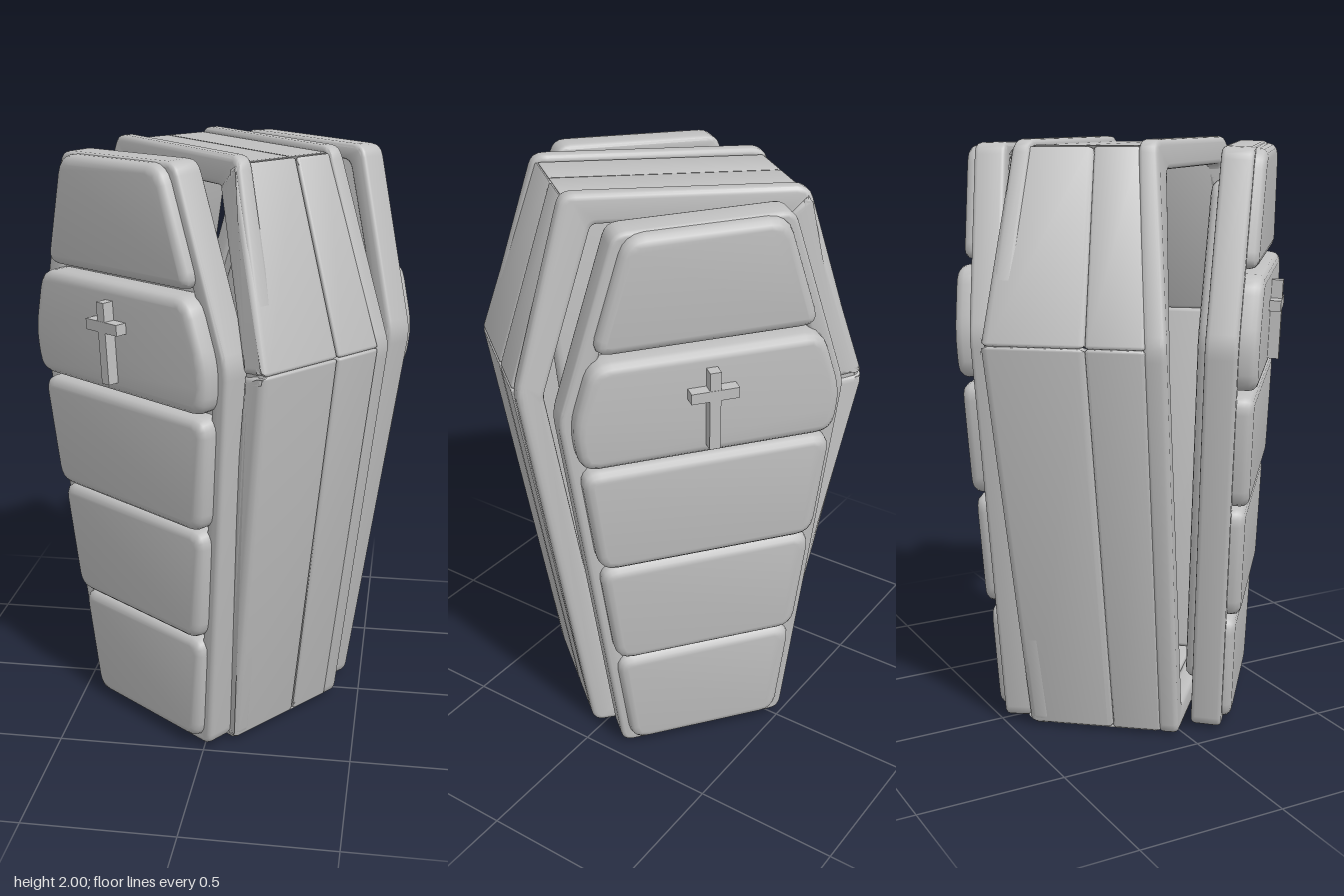
import * as THREE from 'three';
import { toCreasedNormals } from 'three/addons/utils/BufferGeometryUtils.js';

const stone = new THREE.MeshStandardMaterial({ color: 0xc0c0c0 });
stone.name = 'pale grey';

// Polygon with softened corners
function softShape(points, radius) {
  const v = points.map(([x, y]) => new THREE.Vector2(x, y));
  const shape = new THREE.Shape();
  v.forEach((p, i) => {
    const before = v[(i + v.length - 1) % v.length];
    const after = v[(i + 1) % v.length];
    const step = (q) => p.clone().lerp(q, Math.min(0.45, radius / p.distanceTo(q)));
    const a = step(before);
    const b = step(after);
    if (i === 0) shape.moveTo(a.x, a.y);
    else shape.lineTo(a.x, a.y);
    shape.quadraticCurveTo(p.x, p.y, b.x, b.y);
  });
  shape.closePath();
  return shape;
}

// Bevelled slab between z0 and z1; the bevel stays inside the outline
function slab(shape, z0, z1, bevel) {
  const g = new THREE.ExtrudeGeometry(shape, {
    depth: z1 - z0 - 2 * bevel, curveSegments: 4, bevelEnabled: true,
    bevelThickness: bevel, bevelSize: bevel, bevelOffset: -bevel, bevelSegments: 3,
  });
  g.translate(0, 0, z0 + bevel);
  return g;
}

function addMesh(parent, name, geometry) {
  const mesh = new THREE.Mesh(toCreasedNormals(geometry, 0.7), stone);
  mesh.name = name;
  parent.add(mesh);
  return mesh;
}

// Six-sided coffin outline from half-widths at the foot, shoulder and head
function hexagon(foot, shoulder, head, y0, yMid, y1) {
  return [[-foot, y0], [foot, y0], [shoulder, yMid], [head, y1], [-head, y1], [-shoulder, yMid]];
}

function createLid() {
  const lid = new THREE.Group();
  const halfWidth = (y) => (y < 1.38
    ? THREE.MathUtils.mapLinear(y, 0, 1.38, 0.3, 0.47)
    : THREE.MathUtils.mapLinear(y, 1.38, 1.99, 0.47, 0.28));

  // Raised frame around a thin backing board
  const frame = softShape(hexagon(0.3, 0.47, 0.28, 0.01, 1.38, 1.985), 0.04);
  frame.holes.push(softShape(hexagon(0.245, 0.405, 0.225, 0.06, 1.38, 1.93), 0.03));
  addMesh(lid, 'lidFrame', slab(frame, -0.055, 0.05, 0.015));
  addMesh(lid, 'lidBoard',
    slab(softShape(hexagon(0.27, 0.435, 0.25, 0.04, 1.38, 1.96), 0.03), -0.04, 0.025, 0.005));
  addMesh(lid, 'lidLining',
    slab(softShape(hexagon(0.19, 0.34, 0.17, 0.13, 1.38, 1.87), 0.05), -0.095, -0.03, 0.03));

  // Five padded planks, fullest near the shoulder
  const planks = [
    [0.03, 0.42, 0.08], [0.43, 0.825, 0.095], [0.83, 1.215, 0.105],
    [1.23, 1.595, 0.112], [1.61, 1.98, 0.088],
  ];
  planks.forEach(([a, b, front]) => {
    const inset = 0.033;
    const wa = halfWidth(a) - inset;
    const wb = halfWidth(b) - inset;
    const points = a < 1.38 && b > 1.38
      ? hexagon(wa, halfWidth(1.38) - inset, wb, a, 1.38, b)
      : [[-wa, a], [wa, a], [wb, b], [-wb, b]];
    addMesh(lid, 'lidPlank', slab(softShape(points, 0.06), 0, front, 0.03));
  });

  // Cross ornament
  const stem = addMesh(lid, 'crossStem', new THREE.BoxGeometry(0.036, 0.27, 0.06));
  stem.position.set(0, 1.405, 0.12);
  const bar = addMesh(lid, 'crossBar', new THREE.BoxGeometry(0.155, 0.036, 0.062));
  bar.position.set(0, 1.46, 0.12);
  return lid;
}

// The walls run askew through the depth, more so above the foot,
// and the depth is greatest near the shoulder
function skew(geometry) {
  const p = geometry.attributes.position;
  for (let i = 0; i < p.count; i++) {
    const y = p.getY(i);
    const lean = 0.02 + 0.05 * Math.min(1, y / 1.2);
    const depth = 1 - (y < 1.37 ? 0.09 * (1.37 - y) : 0.34 * (y - 1.37));
    const shift = lean * THREE.MathUtils.clamp(p.getX(i) / 0.38, -1, 1);
    p.setZ(i, p.getZ(i) * depth + shift);
  }
  return geometry;
}

function createBody() {
  const body = new THREE.Group();
  const rimOuter = hexagon(0.345, 0.56, 0.375, 0, 1.37, 2);
  const outer = hexagon(0.345, 0.565, 0.37, 0.01, 1.37, 1.982);
  const inner = hexagon(0.26, 0.47, 0.29, 0.085, 1.36, 1.905);
  const names = ['foot', 'side', 'shoulder', 'head', 'shoulder', 'side'];

  outer.forEach((p, i) => {
    const j = (i + 1) % 6;
    const shape = softShape([p, outer[j], inner[j], inner[i]], 0.012);
    const end = i === 0 || i === 3;
    const strips = end
      ? [[-0.215, 0.005], [-0.005, 0.215]]
      : [[-0.225, -0.035], [-0.04, 0.3]];
    // Opposite walls carry their strips the other way round
    strips.forEach(([a, b], k) => {
      const [z0, z1] = i > 3 ? [-b, -a] : [a, b];
      const padded = !end && k === 1;
      addMesh(body, names[i] + (padded ? 'Cushion' : 'Band'),
        skew(slab(shape, z0, z1, padded ? 0.026 : 0.012)));
    });
  });

  // Rim around each open face
  for (const [z0, z1] of [[-0.29, -0.215], [0.215, 0.29]]) {
    const rim = softShape(rimOuter, 0.04);
    rim.holes.push(softShape(inner, 0.02));
    addMesh(body, 'bodyRim', skew(slab(rim, z0, z1, 0.018)));
  }
  return body;
}

export function createModel() {
  const model = new THREE.Group();
  model.name = 'openCoffin';
  const body = createBody();
  body.name = 'coffinBody';
  model.add(body);

  // A lid stands just off each open face, leaning slightly outward and aside
  for (const side of [0, 1]) {
    const mount = new THREE.Group();
    mount.name = side ? 'backLid' : 'frontLid';
    mount.rotation.y = side * Math.PI;
    const lid = createLid();
    lid.position.set(0.028, 0, 0.325);
    lid.rotation.set(0.041, 0, 0.021);
    mount.add(lid);
    model.add(mount);
  }
  model.rotation.y = THREE.MathUtils.degToRad(-38.5);
  return model;
}
